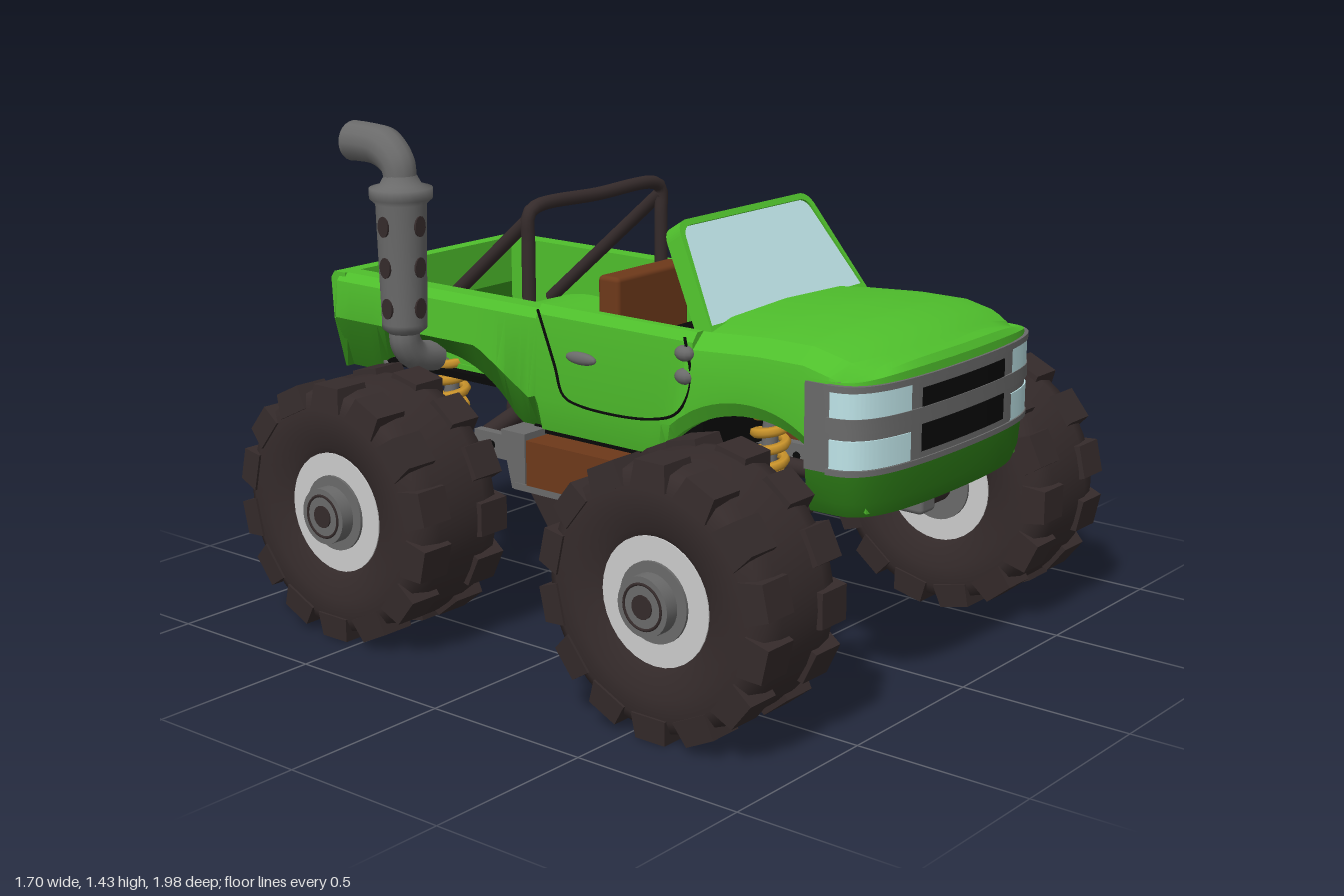
import * as THREE from 'three';
import { toCreasedNormals } from 'three/addons/utils/BufferGeometryUtils.js';
import { RoundedBoxGeometry } from 'three/addons/geometries/RoundedBoxGeometry.js';

const mat = (name, color, side = THREE.FrontSide) => Object.assign(new THREE.MeshStandardMaterial({ color, side }), { name });
const V = (x, y, z) => new THREE.Vector3(x, y, z);
const { lerp, clamp } = THREE.MathUtils;

export function createModel() {
  const green = mat('green paint', 0x4fbf2c), darkGreen = mat('dark green paint', 0x2c7a16);
  const rubber = mat('dark rubber', 0x352b2b), steel = mat('grey steel', 0x6a6a6a), rimGrey = mat('light rim grey', 0xcccccc);
  const brown = mat('brown leather', 0x6e391a), gold = mat('spring gold', 0xc8922a);
  const black = mat('black', 0x080808), glass = mat('pale glass', 0xbee4e8, THREE.DoubleSide);
  const root = new THREE.Group();
  root.name = 'monsterTruck';

  const add = (name, geo, m, p = [0, 0, 0], parent = root) => {
    const mesh = new THREE.Mesh(geo, m);
    mesh.name = name;
    mesh.position.set(...p);
    parent.add(mesh);
    return mesh;
  };
  // box given by its min and max on each axis
  const box = (name, m, x0, x1, y0, y1, z0, z1, r = 0) => add(name,
    r ? new RoundedBoxGeometry(x1 - x0, y1 - y0, z1 - z0, 2, r) : new THREE.BoxGeometry(x1 - x0, y1 - y0, z1 - z0),
    m, [(x0 + x1) / 2, (y0 + y1) / 2, (z0 + z1) / 2]);
  const rod = (name, m, a, b, r) => {
    const d = b.clone().sub(a);
    const mesh = add(name, new THREE.CylinderGeometry(r, r, d.length(), 14), m, a.clone().lerp(b, 0.5).toArray());
    mesh.quaternion.setFromUnitVectors(V(0, 1, 0), d.normalize());
  };
  const tube = (name, m, pts, r, seg = 24) => add(name, new THREE.TubeGeometry(new THREE.CatmullRomCurve3(pts), seg, r, 12), m);
  // side profile in (z, y), extruded from x0 to x1
  const sideExtrude = (name, m, pts, x0, x1) => {
    const s = new THREE.Shape(pts.map(([z, y]) => new THREE.Vector2(-z, y)));
    const g = new THREE.ExtrudeGeometry(s, { depth: x1 - x0, bevelEnabled: false }).rotateY(Math.PI / 2).translate(x0, 0, 0);
    add(name, toCreasedNormals(g, 0.5), m);
  };
  // faces in idx use the first material, those in alt the second
  const mesh3 = (pos, idx, crease, alt = []) => {
    const g = new THREE.BufferGeometry();
    g.setAttribute('position', new THREE.Float32BufferAttribute(pos.flat(), 3));
    g.setIndex([...idx, ...alt]);
    const out = toCreasedNormals(g, crease);
    out.clearGroups();
    if (alt.length) {
      out.addGroup(0, idx.length, 0);
      out.addGroup(idx.length, alt.length, 1);
    }
    return out;
  };
  // closed rings (counter-clockwise seen from +z), ordered by rising z, with end caps
  const loft = (rings, isAlt = () => false) => {
    const n = rings[0].length, idx = [], alt = [], last = (rings.length - 1) * n;
    for (let i = 0; i < rings.length - 1; i++) for (let j = 0; j < n; j++) {
      const a = i * n + j, b = i * n + (j + 1) % n;
      (isAlt(i, j) ? alt : idx).push(a, b, a + n, b, b + n, a + n);
    }
    const cap = (r) => THREE.ShapeUtils.triangulateShape(r.map(([x, y]) => new THREE.Vector2(x, y)), []);
    cap(rings[0]).forEach(([a, b, c]) => idx.push(a, c, b));
    cap(rings.at(-1)).forEach(([a, b, c]) => idx.push(last + a, last + b, last + c));
    return mesh3(rings.flat(), idx, 0.5, alt);
  };
  const curve = (pts, z) => {
    const i = clamp(pts.findIndex((p) => p[0] >= z), 1, pts.length - 1), [a, b] = [pts[i - 1], pts[i]];
    return lerp(a[1], b[1], clamp((z - a[0]) / (b[0] - a[0]), 0, 1));
  };

  // ---- body rules: lower edge with wheel arches, crease line
  const bottom = (z) => {
    const d = Math.min(Math.abs(z - 0.58), Math.abs(z + 0.58));
    return Math.max(z < -0.58 ? 0.66 : z > 0.58 ? 0.56 : 0.6, d < 0.39 ? 0.37 + Math.sqrt(0.1521 - d * d) : 0);
  };
  const crease = (z) => Math.max(z < -0.17 ? lerp(0.68, 0.81, clamp((-0.17 - z) / 0.22, 0, 1)) : 0.7, bottom(z) + 0.04);

  // body sides: doors and bed walls, darker below the bed crease
  const sideRing = (z) => {
    const bed = z < -0.16, b = bottom(z), top = bed ? 0.945 : 0.96, xi = bed ? 0.33 : 0.36;
    const xo = 0.415 - (z < -0.97 ? 0.015 : 0);
    return [[xi, b], [bed ? 0.37 : 0.39, b], [xo, crease(z)], [xo - 0.01, top - 0.025], [xo - 0.03, top], [xi, top]]
      .map(([x, y]) => [x, y, Math.max(z, -0.985 + Math.max(0, 0.8 - y) * 0.33)]);
  };
  const zs = [-0.985, -0.965, -0.165, -0.155, 0.39];
  for (let z = -0.94; z < 0.38; z += 0.03) zs.push(z);
  zs.sort((a, b) => a - b);
  const sides = zs.map(sideRing), paints = [green, darkGreen];
  add('bodySideLeft', loft(sides, (i, j) => j === 1 && zs[i] < -0.17), paints);
  add('bodySideRight', loft(sides.map((r) => r.map(([x, y, z]) => [-x, y, z]).reverse()), (i, j) => j === 3 && zs[i] < -0.17), paints);

  // hood and front fenders
  const hoodTop = [[0.38, 0.985], [0.6, 1.0], [0.76, 1.0], [0.86, 0.98], [0.9, 0.965], [0.945, 0.94]];
  const hoodRing = (z) => {
    const b = bottom(z), t = curve(hoodTop, z), k = z > 0.88 ? lerp(0.98, 0.93, (z - 0.88) / 0.065) : 1;
    const bow = 0.03 * clamp((z - 0.65) / 0.25, 0, 1);
    const half = [[0.39, b], [0.415, crease(z)], [0.418, 0.86], [0.405, t - 0.07], [0.36, t - 0.028], [0.25, t - 0.008]];
    const outer = [...half, [0, t], ...half.map(([x, y]) => [-x, y]).reverse()];
    const inner = outer.map(([x, y]) => [x * 0.9, y === b ? b : y - 0.03]).reverse();
    return [...outer, ...inner].map(([x, y]) => [x * k, y, z - bow * (x / 0.42) ** 2]);
  };
  const hz = [];
  for (let z = 0.37; z < 0.93; z += 0.03) hz.push(z);
  add('hood', loft([...hz, 0.945].map(hoodRing)), green);

  // ---- nose: bands following one rounded plan curve, rows are [y, scale, corner drop]
  const nosePoint = (t, s) => {
    const a = Math.abs(t) ** 2 * Math.PI / 2;
    const x = 0.43 * Math.sign(t) * Math.sin(a) ** 0.4, z = 0.8 + 0.18 * Math.max(0, Math.cos(a)) ** 0.4 - 0.03 * (x / 0.43) ** 2;
    return [x * s, 0.75 + (z - 0.75) * s];
  };
  const nose = (name, m, t0, t1, rows) => {
    const n = 36, pos = [], idx = [];
    rows.forEach(([y, s, drop = 0], r) => {
      for (let i = 0; i <= n; i++) {
        const [x, z] = nosePoint(lerp(t0, t1, i / n), s), p = r * (n + 1) + i;
        pos.push([x, y - drop * (x / 0.43) ** 4, z]);
        if (r && i) idx.push(p - n - 2, p - n - 1, p - 1, p - n - 1, p, p - 1);
      }
    });
    add(name, mesh3(pos, idx, 0.45), m);
  };
  const band = (name, m, t0, t1, y0, y1, s) => nose(name, m, t0, t1, [[y0, 0.93], [y0, s], [y1, s], [y1, 0.93]]);
  nose('frontValance', darkGreen, -1, 1, [[0.545, 0.86], [0.55, 0.92], [0.59, 0.965], [0.68, 0.99]]);
  nose('noseUnderside', black, -1, 1, [[0.548, 0.02], [0.548, 0.9]]);
  nose('hoodLip', green, -1, 1, [[0.89, 0.99], [0.925, 0.985, 0.02], [0.945, 0.93, 0.06], [0.948, 0.7, 0.06]]);
  band('grillePanel', steel, -1, 1, 0.67, 0.9, 1);
  for (const [y0, y1] of [[0.668, 0.683], [0.78, 0.818], [0.885, 0.902]]) band('grilleBar', steel, -0.97, 0.97, y0, y1, 1.02);
  for (const [y0, y1] of [[0.818, 0.868], [0.7, 0.772]]) band('grilleSlot', black, -0.305, 0.305, y0, y1, 1.008);
  for (const [y0, y1] of [[0.818, 0.885], [0.685, 0.76]]) {
    band('headlight', glass, 0.39, 0.96, y0, y1, 1.012);
    band('headlight', glass, -0.96, -0.39, y0, y1, 1.012);
  }

  // ---- windshield
  const wind = (w0, w1, y0, y1, r, Type) => {
    const p = new Type();
    p.moveTo(-w0, y0);
    p.lineTo(w0, y0);
    p.lineTo(w1 + 0.01, y1 - r);
    p.quadraticCurveTo(w1, y1, w1 - r, y1);
    p.lineTo(-w1 + r, y1);
    p.quadraticCurveTo(-w1, y1, -w1 - 0.01, y1 - r);
    p.closePath();
    return p;
  };
  const windshield = new THREE.Group();
  windshield.name = 'windshield';
  windshield.position.set(0, 0.965, 0.415);
  windshield.rotation.x = -0.57;
  root.add(windshield);
  const frame = wind(0.365, 0.295, -0.03, 0.31, 0.04, THREE.Shape);
  frame.holes.push(wind(0.348, 0.278, 0.01, 0.292, 0.03, THREE.Path));
  add('windshieldFrame', new THREE.ExtrudeGeometry(frame, { depth: 0.055, bevelEnabled: false }), green, [0, 0, -0.055], windshield);
  add('windshieldGlass', new THREE.ShapeGeometry(wind(0.352, 0.282, 0.005, 0.296, 0.03, THREE.Shape)), glass, [0, 0, -0.006], windshield);

  // ---- bed
  sideExtrude('tailgate', green, [[-0.94, 0.8], [-0.94, 0.945], [-0.985, 0.945], [-1, 0.925], [-0.992, 0.8]], -0.395, 0.395);
  sideExtrude('tailgateLower', darkGreen, [[-0.94, 0.66], [-0.94, 0.8], [-0.992, 0.8], [-0.948, 0.66]], -0.395, 0.395);
  box('bedFloor', green, -0.34, 0.34, 0.705, 0.72, -0.95, -0.12);
  box('bedBulkhead', green, -0.36, 0.36, 0.6, 0.72, -0.14, -0.12);
  box('bedUnderside', black, -0.37, 0.37, 0.685, 0.705, -0.95, -0.12);
  const arc = [];
  for (let i = 0; i <= 16; i++) {
    const a = lerp(0.91, Math.PI - 0.91, i / 16);
    arc.push([-0.6 - Math.cos(a) * 0.43, 0.37 + Math.sin(a) * 0.43]);
  }
  for (const s of [-1, 1]) sideExtrude('bedWheelHump', green, arc, s > 0 ? 0.13 : -0.335, s > 0 ? 0.335 : -0.13);

  // ---- cab interior
  box('cabFloor', black, -0.38, 0.38, 0.585, 0.605, -0.2, 0.3);
  box('dashboard', black, -0.36, 0.36, 0.6, 0.95, 0.27, 0.39);
  box('engineBayUnderside', black, -0.375, 0.375, 0.755, 0.77, 0.3, 0.92);
  box('seatCushion', brown, -0.03, 0.3, 0.62, 0.76, -0.2, 0.06, 0.015);
  box('seatBack', brown, -0.03, 0.3, 0.7, 0.968, -0.265, -0.185, 0.015);
  add('steeringWheel', new THREE.TorusGeometry(0.075, 0.014, 10, 24), rubber, [0.14, 0.88, 0.185]).rotation.x = 0.45;
  rod('steeringColumn', rubber, V(0.14, 0.88, 0.185), V(0.14, 0.82, 0.29), 0.015);
  rod('gearStick', rubber, V(-0.12, 0.6, 0.09), V(-0.12, 0.76, 0.06), 0.012);
  add('gearKnob', new THREE.SphereGeometry(0.03, 12, 8), rubber, [-0.12, 0.77, 0.06]);

  // ---- roll bar
  tube('rollBar', rubber, [V(-0.295, 0.71, -0.29), V(-0.295, 1.1, -0.29), V(-0.293, 1.18, -0.29), V(-0.26, 1.2, -0.29), V(0, 1.2, -0.29),
    V(0.26, 1.2, -0.29), V(0.293, 1.18, -0.29), V(0.295, 1.1, -0.29), V(0.295, 0.71, -0.29)], 0.02, 64);

  // ---- wheel parts, axis along local y with the outer face at +y
  const tyreHalf = [[0.165, 0.135], [0.19, 0.15], [0.25, 0.165], [0.31, 0.165], [0.345, 0.145], [0.357, 0.09]];
  const tyreGeo = new THREE.LatheGeometry([...tyreHalf.map(([r, y]) => new THREE.Vector2(r, -y)),
    ...tyreHalf.map(([r, y]) => new THREE.Vector2(r, y)).reverse()], 44);
  const lugGeo = new THREE.BoxGeometry(0.112, 0.12, 0.07);
  const lp = lugGeo.attributes.position;
  for (let i = 0; i < lp.count; i++) if (lp.getZ(i) > 0) lp.setXYZ(i, lp.getX(i) * 0.85, lp.getY(i) * 0.86, lp.getZ(i));
  lugGeo.computeVertexNormals();
  const disc = (r, h, seg = 32) => new THREE.CylinderGeometry(r, r, h, seg);
  const wheel = (side, z) => {
    const g = new THREE.Group();
    g.name = 'wheel';
    g.position.set(side * 0.652, 0.37, z);
    g.rotation.z = -side * Math.PI / 2;
    root.add(g);
    add('tyre', tyreGeo, rubber, undefined, g);
    add('rim', disc(0.172, 0.285), rimGrey, undefined, g);
    add('hubDisc', disc(0.108, 0.3), steel, undefined, g);
    add('hubCap', disc(0.08, 0.04), steel, [0, 0.172, 0], g);
    add('hubRing', new THREE.TorusGeometry(0.06, 0.004, 6, 28), rubber, [0, 0.192, 0], g).rotation.x = Math.PI / 2;
    add('hubBolt', disc(0.032, 0.008, 16), rubber, [0, 0.192, 0], g);
    for (let i = 0; i < 28; i++) {
      const a = i * Math.PI / 14;
      add('treadLug', lugGeo, rubber, [Math.sin(a) * 0.335, i % 2 ? 0.112 : -0.112, Math.cos(a) * 0.335], g).rotation.y = a;
    }
  };

  // ---- everything repeated left and right
  const sideX = (z, y) => y > crease(z) ? 0.417 : lerp(0.393, 0.417, (y - bottom(z)) / (crease(z) - bottom(z)));
  const seam = [[0.37, 0.95], [0.39, 0.83], [0.345, 0.74], [0.25, 0.705], [0, 0.7], [-0.06, 0.72], [-0.09, 0.8], [-0.15, 0.95]];
  for (const s of [-1, 1]) {
    const P = (x, y, z) => V(s * x, y, z);
    const sbox = (name, m, x0, x1, ...rest) => box(name, m, s > 0 ? x0 : -x1, s > 0 ? x1 : -x0, ...rest);
    rod('rollBarBrace', rubber, P(0.295, 1.165, -0.29), P(0.295, 0.78, -0.74), 0.02);
    sbox('doorLining', steel, 0.33, 0.362, 0.6, 0.78, -0.12, 0.27);
    tube('doorSeam', black, seam.map(([z, y]) => P(sideX(z, y) - 0.003, y, z)), 0.004, 60);
    add('doorHandle', new THREE.SphereGeometry(1, 16, 10), steel, [s * 0.417, 0.835, 0.01]).scale.set(0.014, 0.018, 0.055);
    for (const y of [0.905, 0.842]) add('doorHinge', new THREE.SphereGeometry(1, 12, 8), steel, [s * 0.412, y, 0.368]).scale.set(0.022, 0.022, 0.03);

    // side box, skid wedge and brackets
    sbox('sideBox', brown, 0.36, 0.47, 0.455, 0.585, -0.15, 0.21);
    sbox('sideBoxTray', steel, 0.36, 0.468, 0.435, 0.455, -0.2, 0.2);
    const [x0, x1] = s > 0 ? [0.37, 0.465] : [-0.465, -0.37];
    sideExtrude('skidWedge', rubber, [[-0.14, 0.437], [-0.05, 0.31], [0.06, 0.31], [0.14, 0.437]], x0, x1);
    sideExtrude('sideBracket', steel, [[-0.16, 0.435], [-0.16, 0.6], [-0.25, 0.6], [-0.21, 0.435]], x0, x1);
    // perforated chassis rail
    sbox('chassisRail', steel, 0.22, 0.25, 0.425, 0.5, -0.56, 0.56);
    for (let i = 0; i < 15; i++) {
      add('railHole', disc(0.013, 0.036, 10), black, [s * 0.235, 0.463, (i - 7) * 0.07]).rotation.z = Math.PI / 2;
      add('railHole', disc(0.009, 0.006, 10), black, [s * 0.235, 0.424, (i - 7) * 0.07]);
    }

    for (const e of [-1, 1]) {
      const z = e * 0.58;
      wheel(s, z);
      rod('axleArm', rubber, P(0, 0.51, z), P(0.36, 0.41, z), 0.028);
      rod('axleStub', rubber, P(0.4, 0.37, z), P(0.52, 0.37, z), 0.052);
      sbox('hubCarrier', steel, 0.34, 0.42, 0.32, 0.47, z - 0.055, z + 0.055, 0.015);
      // spring and damper
      const coil = [];
      for (let i = 0; i <= 72; i++) {
        const u = i / 72, a = u * Math.PI * 12;
        coil.push(P(lerp(0.335, 0.31, u) + Math.cos(a) * 0.042, lerp(0.475, 0.76, u), z + Math.sin(a) * 0.042));
      }
      add('coilSpring', new THREE.TubeGeometry(new THREE.CatmullRomCurve3(coil), 150, 0.014, 6), gold);
      rod('damper', steel, P(0.34, 0.42, z), P(0.31, 0.77, z), 0.022);
      rod('strut', steel, P(0.37, 0.42, z + e * 0.04), P(0.355, 0.74, z + e * 0.26), 0.016);
    }
  }
  for (const z of [-0.58, 0.58]) add('differential', new THREE.SphereGeometry(0.062, 18, 12), rubber, [0, 0.51, z]);
  rod('driveShaft', rubber, V(0, 0.51, -0.58), V(0, 0.51, 0.58), 0.025);
  box('crossMember', rubber, -0.22, 0.22, 0.45, 0.48, -0.05, 0.05);

  // ---- exhaust stack
  const ex = -0.5, ez = -0.585;
  add('exhaustStack', new THREE.LatheGeometry([[0, 0.835], [0.045, 0.835], [0.064, 0.85], [0.064, 0.865], [0.073, 1.21], [0.09, 1.225],
    [0.09, 1.255], [0.06, 1.264], [0.046, 1.29]].map(([r, y]) => new THREE.Vector2(r, y)), 24), steel, [ex, 0, ez]);
  for (let i = 0; i < 12; i++) {
    const a = (i % 4) * Math.PI / 2, y = 0.915 + Math.floor(i / 4) * 0.118, r = 0.064 + (y - 0.865) * 0.026;
    const hole = add('exhaustHole', disc(0.02, 0.008, 14), rubber, [ex + Math.sin(a) * r, y, ez + Math.cos(a) * r]);
    hole.rotation.set(Math.PI / 2, 0, -a);
    hole.scale.z = 1.5;
  }
  // elbow widens towards the outlet
  const elbow = tube('exhaustElbow', steel, [V(ex, 1.26, ez), V(ex, 1.32, ez - 0.01), V(ex, 1.362, ez - 0.06), V(ex, 1.37, ez - 0.12), V(ex, 1.37, -0.77)], 0.045, 32).geometry;
  const { position: ep, normal: en, uv } = elbow.attributes;
  for (let i = 0; i < ep.count; i++) {
    const w = 0.013 * Math.min(1, uv.getX(i) * 2);
    ep.setXYZ(i, ep.getX(i) + en.getX(i) * w, ep.getY(i) + en.getY(i) * w, ep.getZ(i) + en.getZ(i) * w);
  }
  add('exhaustOutlet', disc(0.046, 0.006), black, [ex, 1.37, -0.77]).rotation.x = Math.PI / 2;
  add('exhaustRim', new THREE.TorusGeometry(0.051, 0.007, 8, 24), steel, [ex, 1.37, -0.769]);
  tube('exhaustFeed', steel, [V(ex, 0.86, ez), V(ex, 0.81, ez), V(-0.465, 0.765, ez), V(-0.38, 0.745, ez)], 0.045);
  return root;
}
